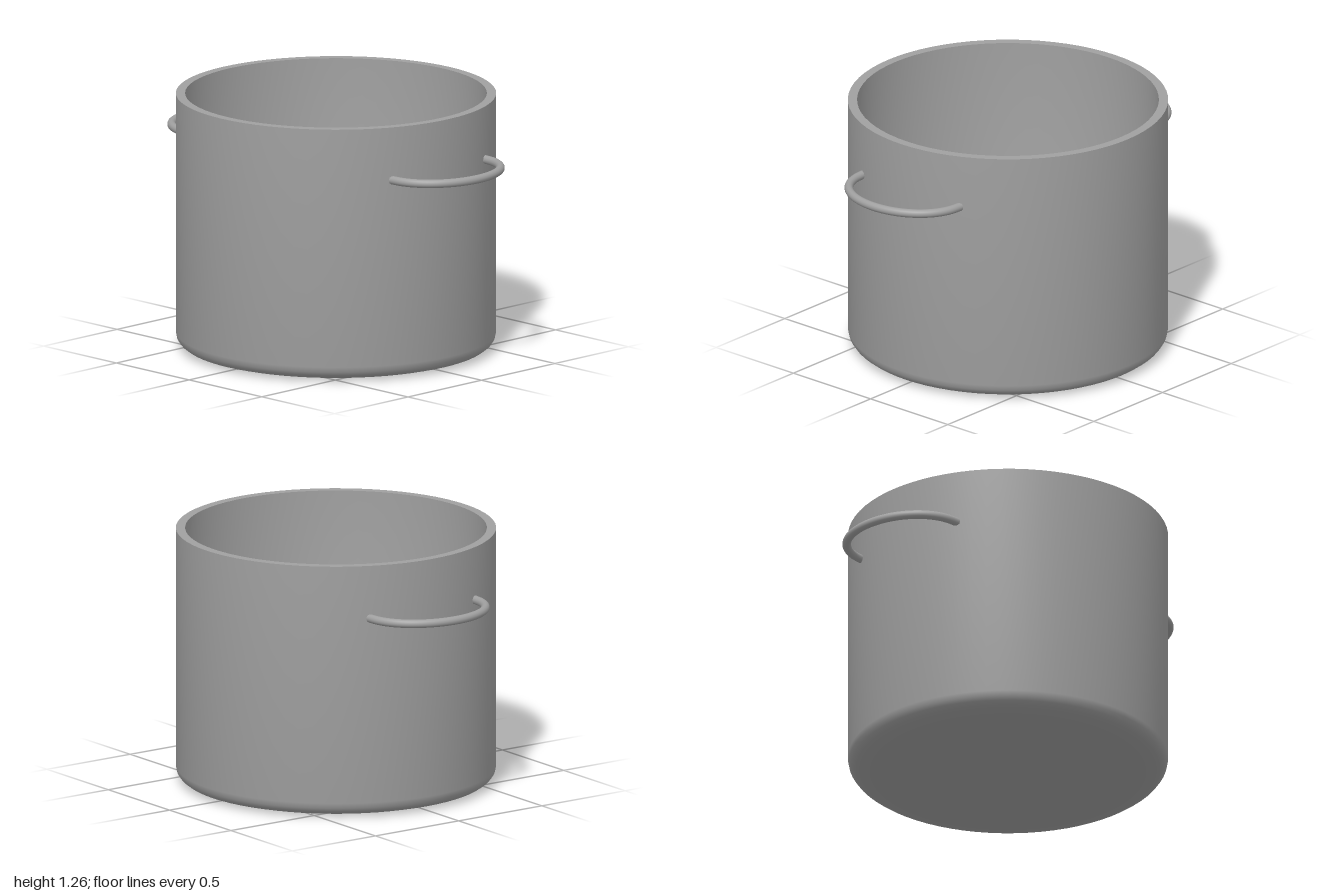
import * as THREE from 'three';
import { toCreasedNormals } from 'three/addons/utils/BufferGeometryUtils.js';

const R = 0.775, INNER = 0.73, HEIGHT = 1.26, FLOOR = 0.04;
const HANDLE_Y = 0.997, ROD = 0.021;

export function createModel() {
  const group = new THREE.Group();
  const material = new THREE.MeshStandardMaterial({ color: 0xa0a0a0 });

  // Pot wall and floor: one closed profile, outside upward, over the rim, inside downward
  const profile = [
    [0, 0], [0.62, 0], [0.665, 0.004], [0.705, 0.01], [0.737, 0.019], [0.757, 0.034],
    [0.77, 0.053], [R, 0.078], [R, HEIGHT],
    [INNER, HEIGHT], [INNER, FLOOR + 0.065], [0.723, FLOOR + 0.04], [0.708, FLOOR + 0.02],
    [0.687, FLOOR + 0.009], [0.65, FLOOR + 0.002], [0.60, FLOOR], [0, FLOOR],
  ].map(([x, y]) => new THREE.Vector2(x, y));
  const pot = new THREE.Mesh(
    toCreasedNormals(new THREE.LatheGeometry(profile, 72), 0.7), material);
  pot.name = 'pot';
  group.add(pot);

  // Side handles: slightly squared half-ellipse loops with closed ends set into the wall
  for (const side of [1, -1]) {
    const handle = new THREE.Group();
    handle.name = side > 0 ? 'leftHandle' : 'rightHandle';

    const points = [];
    for (let i = 0; i <= 16; i++) {
      const a = -Math.PI / 2 + (Math.PI * i) / 16;
      const reach = 0.279 * Math.max(0, Math.cos(a)) ** 0.9;
      points.push(new THREE.Vector3(side * (0.7 + reach), HANDLE_Y, 0.314 * Math.sin(a)));
    }
    const loop = new THREE.Mesh(
      new THREE.TubeGeometry(new THREE.CatmullRomCurve3(points), 48, ROD, 14), material);
    loop.name = 'handleLoop';
    handle.add(loop);

    for (const z of [0.314, -0.314]) {
      const cap = new THREE.Mesh(new THREE.CircleGeometry(ROD, 14), material);
      cap.name = 'handleEnd';
      cap.position.set(side * 0.7, HANDLE_Y, z);
      cap.rotation.y = -side * Math.PI / 2;
      handle.add(cap);
    }
    group.add(handle);
  }
  return group;
}
